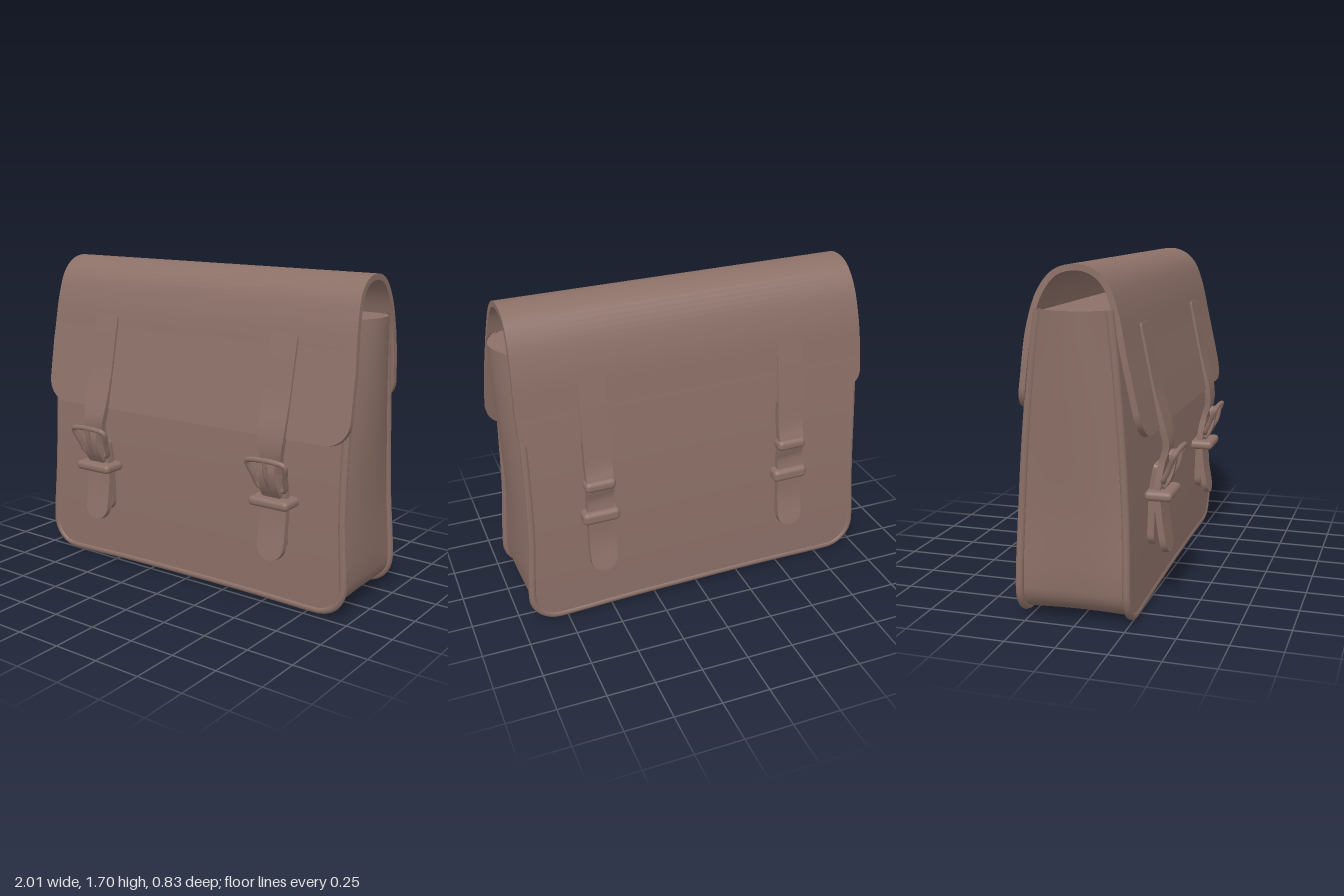
import * as THREE from 'three';
import { toCreasedNormals } from 'three/addons/utils/BufferGeometryUtils.js';
import { RoundedBoxGeometry } from 'three/addons/geometries/RoundedBoxGeometry.js';

const leather = new THREE.MeshStandardMaterial({ color: 0x8c7067, side: THREE.DoubleSide });
leather.name = 'brown leather';

const TOP = 1.5, BOTTOM = 0.025, CORNER = 0.14;
const FRONT_X = -0.005, BACK_X = -0.02; // sideways lean of the two panels
// Body shape: half width and the z of the front and back panels at a height
const halfWidth = y => 0.928 + 0.025 * Math.exp(-(((y - 0.15) / 0.28) ** 2));
const frontZ = y => 0.225 - 0.085 * (y / TOP) ** 2;
const backZ = y => -0.31 + 0.11 * (y / TOP) ** 2;
const bow = y => -0.015 + 0.093 * Math.max(y / TOP, 0) ** 0.7;

function buildGeometry(positions, index, crease = 0.7) {
  const g = new THREE.BufferGeometry();
  g.setAttribute('position', new THREE.Float32BufferAttribute(positions, 3));
  g.setIndex(index);
  return toCreasedNormals(g, crease);
}

// Thick strip along a [z, y] path, with rounded corners r0 and r1 at its ends
function ribbon(path, width, thick, r0 = 0, r1 = 0, centre = () => 0, steps = 48) {
  const curve = new THREE.CatmullRomCurve3(path.map(([z, y]) => new THREE.Vector3(0, y, z)));
  const length = curve.getLength(), pos = [], index = [];
  const inset = (d, r) => (d < r ? r - Math.sqrt(r * r - (r - d) ** 2) : 0);
  for (let i = 0; i <= steps; i++) {
    const u = (1 - Math.cos((Math.PI * i) / steps)) / 2;
    const p = curve.getPointAt(u), t = curve.getTangentAt(u);
    const w = Math.max(width(p.y) - inset(u * length, r0) - inset((1 - u) * length, r1), 0.002);
    for (const [sx, sn] of [[-1, 1], [1, 1], [1, -1], [-1, -1]]) {
      pos.push(centre(u) + sx * w, p.y - (sn * t.z * thick) / 2, p.z + (sn * t.y * thick) / 2);
    }
    if (i === steps) break;
    for (let j = 0; j < 4; j++) {
      const a = i * 4 + j, b = i * 4 + ((j + 1) % 4);
      index.push(a, b, b + 4, a, b + 4, a + 4);
    }
  }
  const e = steps * 4;
  index.push(0, 3, 2, 0, 2, 1, e, e + 1, e + 2, e, e + 2, e + 3);
  return buildGeometry(pos, index);
}

// U-shaped outline of the body, from the top of -x round to the top of +x
function outline() {
  const half = [];
  for (let i = 0; i <= 12; i++) {
    const y = TOP + ((BOTTOM + CORNER - TOP) * i) / 12;
    half.push([halfWidth(y), y]);
  }
  const w = halfWidth(BOTTOM + CORNER);
  for (let i = 1; i <= 8; i++) {
    const a = (i / 8) * Math.PI / 2;
    half.push([w - CORNER + CORNER * Math.cos(a), BOTTOM + CORNER - CORNER * Math.sin(a)]);
  }
  half.push([0.4, BOTTOM + 0.008]);
  return [...half.map(([x, y]) => [-x, y]), [0, BOTTOM + 0.01], ...half.reverse()];
}

// Side and bottom wall, bowed out towards the top
function gussetGeometry() {
  const pts = outline(), across = 10, pos = [], index = [];
  pts.forEach(([x, y], i) => {
    const a = pts[Math.max(i - 1, 0)], b = pts[Math.min(i + 1, pts.length - 1)];
    const l = Math.hypot(b[0] - a[0], b[1] - a[1]);
    const nx = (b[1] - a[1]) / l, ny = -(b[0] - a[0]) / l;
    for (let j = 0; j <= across; j++) {
      const t = j / across, off = bow(y) * 4 * t * (1 - t);
      pos.push(x + nx * off + FRONT_X + (BACK_X - FRONT_X) * t, y + ny * off,
        frontZ(y) + (backZ(y) - frontZ(y)) * t);
      if (i < pts.length - 1 && j < across) {
        const k = i * (across + 1) + j, m = k + across + 1;
        index.push(k, k + 1, m + 1, k, m + 1, m);
      }
    }
  });
  return buildGeometry(pos, index, 1);
}

// Cover of the body under the flap
function lidGeometry() {
  const y = TOP - 0.01, pts = [];
  for (const s of [1, -1]) {
    for (let j = 0; j <= 10; j++) {
      const t = s > 0 ? j / 10 : 1 - j / 10;
      const x = s * (halfWidth(y) + bow(y) * 4 * t * (1 - t)) + FRONT_X + (BACK_X - FRONT_X) * t;
      pts.push(new THREE.Vector2(x, -frontZ(y) - (backZ(y) - frontZ(y)) * t));
    }
  }
  return new THREE.ShapeGeometry(new THREE.Shape(pts)).rotateX(-Math.PI / 2).translate(0, y, 0);
}

function tube(points, radius, closed = false, steps = 40) {
  const curve = new THREE.CatmullRomCurve3(points.map(p => new THREE.Vector3(...p)), closed, 'centripetal');
  return new THREE.TubeGeometry(curve, steps, radius, 8, closed);
}

export function createModel() {
  const bag = new THREE.Group();
  bag.name = 'satchel';

  // Every part follows the slight twist of the soft bag
  const add = (name, geometry, parent = bag) => {
    const p = geometry.attributes.position;
    for (let i = 0; i < p.count; i++) p.setZ(i, p.getZ(i) - 0.025 * p.getX(i));
    const mesh = new THREE.Mesh(geometry, leather);
    mesh.name = name;
    parent.add(mesh);
  };

  // Body
  const heights = [0, 0.2, 0.4, 0.6, 0.8, 1].map(t => BOTTOM + (TOP - 0.02 - BOTTOM) * t);
  add('frontPanel', ribbon(heights.map(y => [frontZ(y), y]), halfWidth, 0.03, CORNER, 0, () => FRONT_X));
  add('backPanel', ribbon(heights.map(y => [backZ(y), y]).reverse(), halfWidth, 0.03, 0, CORNER, () => BACK_X));
  add('gusset', gussetGeometry());
  add('lid', lidGeometry());
  for (const [name, zAt, dx] of [['frontPiping', frontZ, FRONT_X], ['backPiping', backZ, BACK_X]]) {
    add(name, tube(outline().map(([x, y]) => [x + dx, y, zAt(y)]), 0.021, false, 160));
  }

  // Flap wrapping over the top, from the front edge to the back edge, drifting to +x at the front
  const flapPath = [[0.287, 0.905], [0.247, 1.1], [0.205, 1.3], [0.163, 1.5], [0.115, 1.62], [0.05, 1.675],
    [-0.03, 1.69], [-0.12, 1.665], [-0.19, 1.58], [-0.24, 1.42], [-0.267, 1.2], [-0.286, 1.03]];
  add('flap', ribbon(flapPath, y => 0.937 + 0.02 * Math.max(0, Math.min(1, (1.65 - y) / 0.4)),
    0.03, 0.13, 0.1, u => 0.033 - 0.055 * u, 96));

  // Front straps with buckles, the left one lying closer to the bag
  const strapPath = [[0.325, 0.265], [0.295, 0.45], [0.285, 0.6], [0.3, 0.72], [0.325, 0.82],
    [0.308, 0.92], [0.258, 1.1], [0.217, 1.3], [0.192, 1.41]];
  const frontWidth = y => 0.077 - 0.02 * Math.exp(-(((y - 0.76) / 0.11) ** 2));
  for (const [x, dz] of [[-0.555, 0.005], [0.575, -0.016]]) {
    const strap = new THREE.Group();
    strap.name = x < 0 ? 'rightFrontStrap' : 'leftFrontStrap';
    bag.add(strap);
    // The lean fades out towards the flap, where both straps are sewn down
    const lean = path => path.map(([z, y]) => [z + dz * Math.max(0, Math.min(1, (0.95 - y) / 0.15)), y]);
    add('strap', ribbon(lean(strapPath), frontWidth, 0.032, 0.075, 0.012, () => x), strap);
    add('underStrap', ribbon([[0.25, 0.3], [0.255, 0.45], [0.262, 0.6], [0.285, 0.72]],
      () => 0.06, 0.035, 0.058, 0.02, () => x), strap);
    add('buckleTab', ribbon(lean([[0.3, 0.6], [0.335, 0.66], [0.352, 0.73], [0.345, 0.79]]),
      y => 0.055 - 0.12 * Math.max(0, y - 0.64), 0.03, 0.02, 0.02, () => x), strap);
    const frame = [[-0.065, 0.8, 0.385], [0.065, 0.8, 0.385], [0.108, 0.788, 0.38], [0.095, 0.72, 0.35],
      [0.075, 0.645, 0.315], [0, 0.635, 0.31], [-0.075, 0.645, 0.315], [-0.095, 0.72, 0.35], [-0.108, 0.788, 0.38]];
    add('buckleFrame', tube(frame.map(([a, y, z]) => [x + a, y, z + dz]), 0.014, true, 64), strap);
    add('bucklePin', tube([[x, 0.64, 0.33 + dz], [x, 0.72, 0.375 + dz], [x, 0.805, 0.39 + dz]],
      0.011, false, 12), strap);
    add('keeper', new RoundedBoxGeometry(0.23, 0.05, 0.14, 3, 0.022).translate(x, 0.572, 0.295 + dz), strap);
  }

  // Back straps with keepers, their upper ends sunk into the flap
  const backPath = [[-0.249, 1.36], [-0.272, 1.2], [-0.295, 1.03], [-0.318, 0.86], [-0.345, 0.78],
    [-0.322, 0.7], [-0.333, 0.6], [-0.34, 0.45], [-0.375, 0.285]];
  for (const x of [-0.54, 0.55]) {
    const strap = new THREE.Group();
    strap.name = x < 0 ? 'rightBackStrap' : 'leftBackStrap';
    bag.add(strap);
    add('strap', ribbon(backPath, () => 0.072, 0.035, 0.012, 0.07, () => x), strap);
    add('strapBacking', ribbon([[-0.292, 0.88], [-0.308, 0.6], [-0.32, 0.45], [-0.345, 0.3]],
      () => 0.066, 0.04, 0.01, 0.064, () => x), strap);
    add('upperKeeper', new RoundedBoxGeometry(0.165, 0.06, 0.08, 3, 0.025).translate(x, 0.785, -0.333), strap);
    add('lowerKeeper', new RoundedBoxGeometry(0.2, 0.07, 0.09, 3, 0.025).translate(x, 0.6, -0.328), strap);
  }
  return bag;
}
